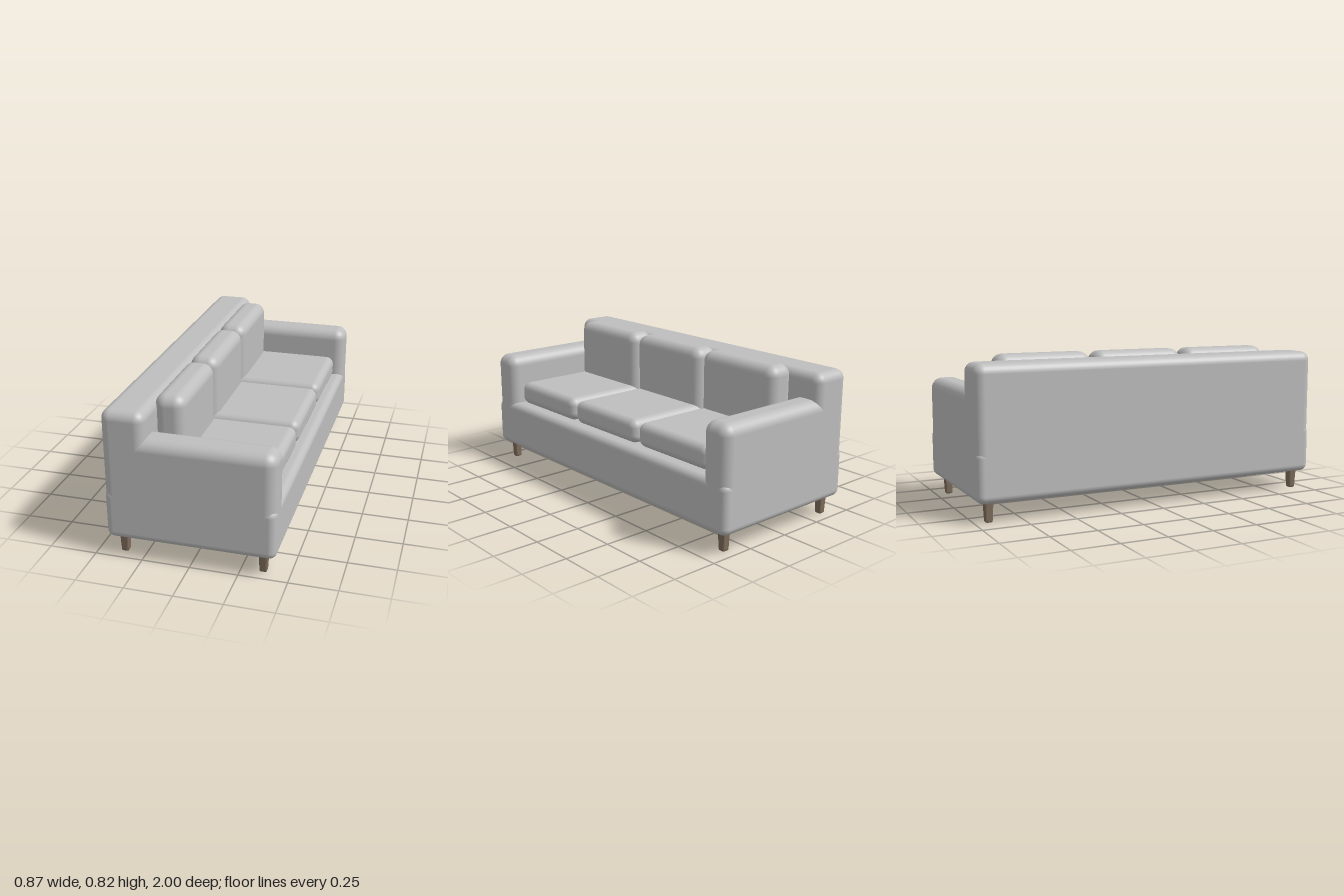
import * as THREE from 'three';
import { RoundedBoxGeometry } from 'three/addons/geometries/RoundedBoxGeometry.js';

const fabric = new THREE.MeshStandardMaterial({ color: 0xbebebe });
fabric.name = 'grey fabric';
const wood = new THREE.MeshStandardMaterial({ color: 0x7e6c5a });
wood.name = 'brown wood';

// Rounded block given by its [min, max] extents on each axis
function block(name, [x0, x1], [y0, y1], [z0, z1], radius) {
  const geometry = new RoundedBoxGeometry(x1 - x0, y1 - y0, z1 - z0, 4, radius);
  const mesh = new THREE.Mesh(geometry, fabric);
  mesh.name = name;
  mesh.position.set((x0 + x1) / 2, (y0 + y1) / 2, (z0 + z1) / 2);
  return mesh;
}

// Square leg with softened edges, narrowing towards the floor
function legGeometry() {
  const height = 0.11, top = 0.048, bottom = 0.037;
  const geometry = new RoundedBoxGeometry(top, height, top, 1, 0.009);
  const p = geometry.attributes.position;
  for (let i = 0; i < p.count; i++) {
    const t = p.getY(i) / height + 0.5;
    const scale = THREE.MathUtils.lerp(bottom / top, 1, t);
    p.setXYZ(i, p.getX(i) * scale, p.getY(i), p.getZ(i) * scale);
  }
  geometry.computeVertexNormals();
  geometry.translate(0, height / 2, 0);
  return geometry;
}

export function createModel() {
  const sofa = new THREE.Group();
  sofa.name = 'sofa';

  // Frame
  sofa.add(block('base', [-0.437, 0.437], [0.103, 0.375], [-1, 1], 0.04));
  sofa.add(block('backrest', [-0.437, -0.215], [0.14, 0.8], [-1, 1], 0.05));
  sofa.add(block('leftArm', [-0.437, 0.437], [0.14, 0.663], [-1, -0.83], 0.06));
  sofa.add(block('rightArm', [-0.437, 0.437], [0.14, 0.663], [0.83, 1], 0.06));

  // Three seats, each with a seat and a back cushion
  for (const z of [-0.551, 0, 0.551]) {
    const span = [z - 0.266, z + 0.266];
    sofa.add(block('seatCushion', [-0.22, 0.383], [0.375, 0.507], span, 0.045));
    sofa.add(block('backCushion', [-0.23, -0.07], [0.4, 0.825], span, 0.058));
  }

  // Legs near the four corners
  const geometry = legGeometry();
  for (const x of [-0.363, 0.363]) {
    for (const z of [-0.926, 0.926]) {
      const leg = new THREE.Mesh(geometry, wood);
      leg.name = 'leg';
      leg.position.set(x, 0, z);
      sofa.add(leg);
    }
  }
  return sofa;
}
